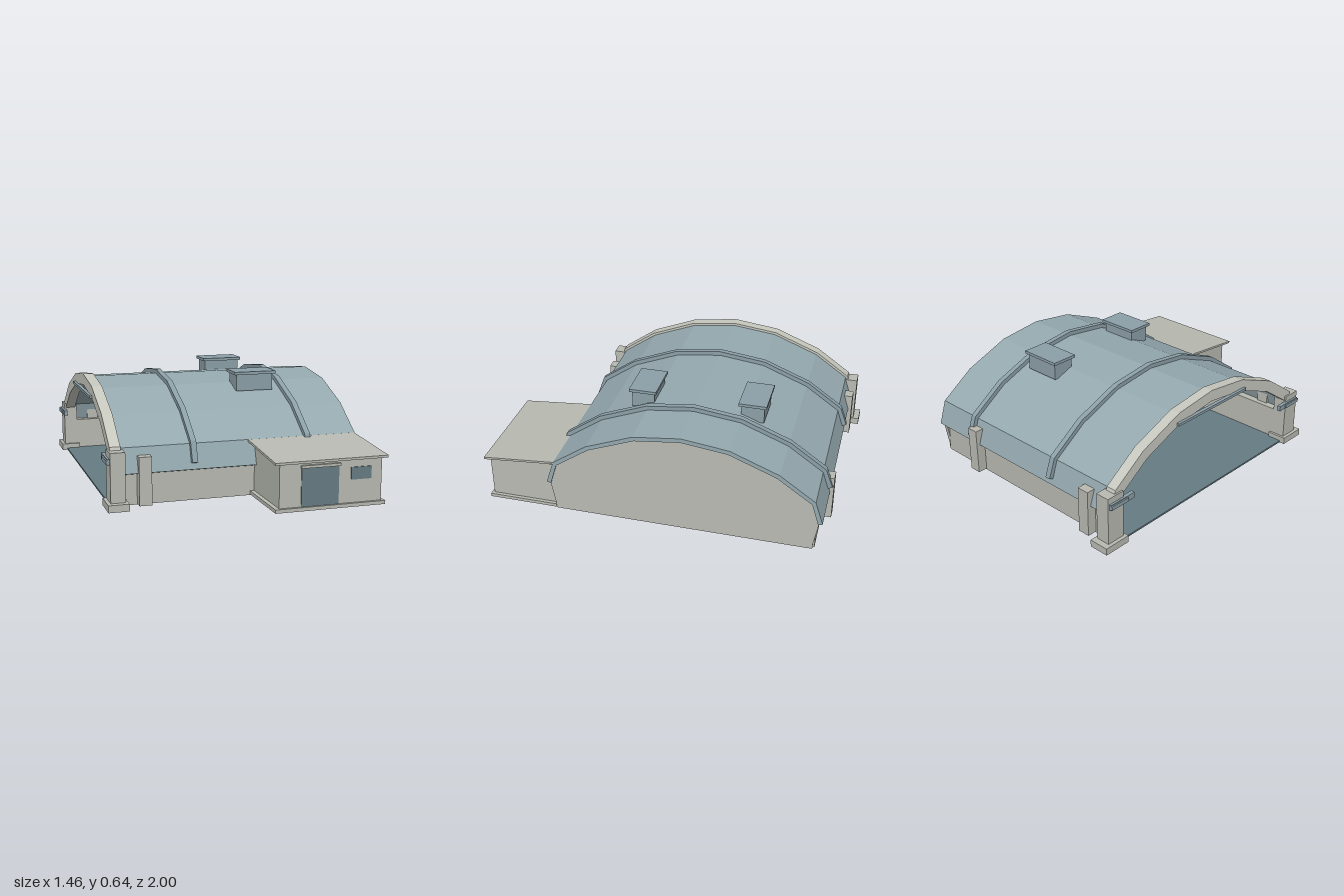
import * as THREE from 'three';

const mat = (name, color) => {
  const m = new THREE.MeshStandardMaterial({ color });
  m.name = name;
  return m;
};

export function createModel() {
  const concrete = mat('concrete', 0xb8bab2);
  const pale = mat('paleConcrete', 0xc6c8be);
  const sheet = mat('roofSheet', 0x94a9af);
  const trim = mat('blueTrim', 0x8b9fa7);
  const dark = mat('darkSlate', 0x667b83);
  const model = new THREE.Group();
  model.name = 'hangar';
  const hall = new THREE.Group();
  hall.name = 'hall';
  hall.position.z = -0.155;
  const annex = new THREE.Group();
  annex.name = 'annex';
  model.add(hall, annex);

  // Box given by its limits on each axis
  const box = (parent, name, m, x0, x1, y0, y1, z0, z1) => {
    const mesh = new THREE.Mesh(new THREE.BoxGeometry(x1 - x0, y1 - y0, z1 - z0), m);
    mesh.position.set((x0 + x1) / 2, (y0 + y1) / 2, (z0 + z1) / 2);
    mesh.name = name;
    parent.add(mesh);
  };
  // The same box on both long sides of the hall
  const pair = (name, m, x0, x1, y0, y1, z0, z1) => {
    box(hall, name, m, x0, x1, y0, y1, z0, z1);
    box(hall, name, m, x0, x1, y0, y1, -z1, -z0);
  };
  // Side profile of [z, y] points swept along x
  const sweep = (parent, name, m, pts, x0, x1) => {
    const shape = new THREE.Shape(pts.map(([z, y]) => new THREE.Vector2(-z, y)));
    const g = new THREE.ExtrudeGeometry(shape, { depth: x1 - x0, bevelEnabled: false });
    g.rotateY(Math.PI / 2).translate(x0, 0, 0);
    const mesh = new THREE.Mesh(g, m);
    mesh.name = name;
    parent.add(mesh);
  };

  // Faceted arch profile, moved outward by d along its normals
  const half = [[0.78, 0.185], [0.735, 0.32], [0.535, 0.46], [0.265, 0.567], [0, 0.6]];
  const arch = (d, foot = half[0]) => {
    const h = [foot, ...half.slice(1)];
    const p = [...h, ...h.slice(0, -1).reverse().map(([z, y]) => [-z, y])];
    return p.map(([z, y], i) => {
      const a = p[Math.max(i - 1, 0)], b = p[Math.min(i + 1, p.length - 1)];
      const dz = b[0] - a[0], dy = b[1] - a[1], l = Math.hypot(dz, dy);
      return [z + d * dy / l, y - d * dz / l];
    });
  };
  const band = (name, m, outer, inner, x0, x1, foot) =>
    sweep(hall, name, m, [...arch(outer, foot), ...arch(inner, foot).reverse()], x0, x1);

  // Vaulted roof, ribs and entrance arch
  band('roof', sheet, 0, -0.025, -0.65, 0.725);
  for (const x of [-0.24, 0.425]) band('roofRib', trim, 0.025, -0.005, x - 0.016, x + 0.016, [0.77, 0.218]);
  band('entranceArch', pale, 0.015, -0.05, -0.7, -0.64);

  // Closed end, low side walls and floor
  sweep(hall, 'endWall', concrete, [[0.735, 0.005], [0.735, 0.03], ...arch(-0.02), [-0.735, 0.03], [-0.735, 0.005]], 0.69, 0.718);
  pair('sideWall', concrete, -0.66, 0.7, 0.005, 0.2, 0.7, 0.745);
  box(hall, 'floor', dark, -0.7, 0.715, 0.002, 0.012, -0.705, 0.705);

  // Buttresses, entrance pillars and door rails
  for (const x of [-0.517, 0.39]) pair('buttress', concrete, x - 0.035, x + 0.035, 0.01, 0.277, 0.73, 0.8);
  pair('pillar', concrete, -0.71, -0.628, 0.03, 0.312, 0.7, 0.81);
  pair('pillarFoot', concrete, -0.73, -0.615, 0, 0.04, 0.685, 0.845);
  pair('doorRail', trim, -0.722, -0.7, 0.245, 0.277, 0.63, 0.8);
  pair('railCover', trim, -0.73, -0.715, 0.25, 0.272, 0.68, 0.8);
  box(hall, 'entranceBar', trim, -0.716, -0.695, 0.515, 0.53, -0.285, 0.285);

  // Roof vents
  for (const z of [0.158, -0.47]) {
    box(model, 'vent', trim, 0.135, 0.355, 0.53, 0.628, z - 0.065, z + 0.065);
    box(model, 'ventCap', trim, 0.12, 0.37, 0.626, 0.643, z - 0.079, z + 0.079);
  }

  // Annex with a lean-to roof
  sweep(annex, 'annexWalls', concrete, [[0.97, 0.025], [0.97, 0.275], [0.585, 0.288], [0.585, 0.025]], 0.115, 0.7);
  sweep(annex, 'annexRoof', concrete, [[1, 0.27], [1, 0.283], [0.578, 0.32], [0.578, 0.307]], 0.08, 0.722);
  box(annex, 'annexPlinth', concrete, 0.09, 0.72, 0.01, 0.03, 0.58, 0.985);
  box(annex, 'annexDoor', dark, 0.237, 0.45, 0.03, 0.24, 0.968, 0.975);
  box(annex, 'doorLintel', concrete, 0.232, 0.455, 0.24, 0.255, 0.965, 0.985);
  box(annex, 'annexWindow', dark, 0.52, 0.638, 0.157, 0.225, 0.968, 0.975);
  return model;
}
